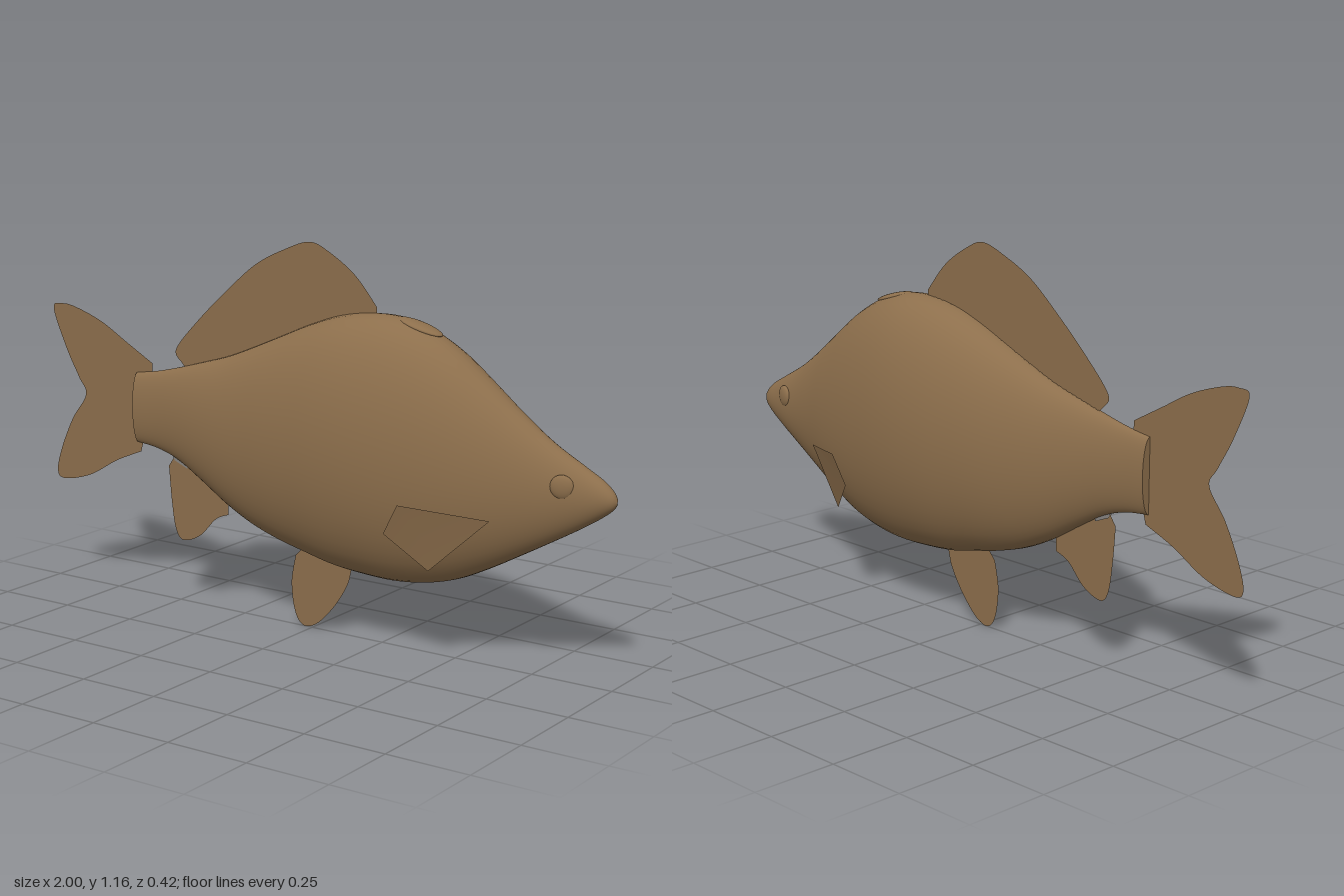
import * as THREE from 'three';

const scaleBrown = new THREE.MeshStandardMaterial({ color: 0x8d6f4c });
scaleBrown.name = 'scaleBrown';
const finBrown = new THREE.MeshStandardMaterial({ color: 0x8b6d4b, side: THREE.DoubleSide });
finBrown.name = 'finBrown';
const ventGrey = new THREE.MeshStandardMaterial({ color: 0x85827f, side: THREE.DoubleSide });
ventGrey.name = 'ventGrey';

// Body stations: x, top, bottom, half width
const STATIONS = [
  [-0.66, 0.705, 0.485, 0.028], [-0.58, 0.718, 0.475, 0.034], [-0.5, 0.737, 0.45, 0.046],
  [-0.4, 0.765, 0.395, 0.066], [-0.3, 0.795, 0.335, 0.088], [-0.2, 0.835, 0.288, 0.11],
  [-0.1, 0.878, 0.256, 0.132], [0, 0.921, 0.233, 0.15], [0.1, 0.955, 0.212, 0.164],
  [0.2, 0.972, 0.203, 0.17], [0.3, 0.972, 0.2, 0.167], [0.4, 0.946, 0.21, 0.156],
  [0.5, 0.894, 0.235, 0.139], [0.6, 0.82, 0.28, 0.116], [0.7, 0.742, 0.334, 0.088],
  [0.8, 0.672, 0.39, 0.063], [0.9, 0.617, 0.448, 0.044], [0.96, 0.583, 0.487, 0.031],
  [0.99, 0.555, 0.512, 0.016], [1, 0.534, 0.53, 0.002],
];

const named = (name, geometry, material) => {
  const mesh = new THREE.Mesh(geometry, material);
  mesh.name = name;
  return mesh;
};

// Smooth skin of elliptical rings along x
function bodyGeometry() {
  const SIDES = 48, STEPS = 80;
  const dims = new THREE.CatmullRomCurve3(STATIONS.map(([x, t, b]) => new THREE.Vector3(x, t, b)));
  const widths = new THREE.CatmullRomCurve3(STATIONS.map(([x, , , w]) => new THREE.Vector3(x, w, 0)));
  const pos = [], index = [];
  for (let i = 0; i <= STEPS; i++) {
    const p = dims.getPoint(i / STEPS), w = widths.getPoint(i / STEPS).y;
    const mid = (p.y + p.z) / 2, half = (p.y - p.z) / 2;
    for (let j = 0; j < SIDES; j++) {
      const a = (j / SIDES) * Math.PI * 2;
      pos.push(p.x, mid + half * Math.cos(a), w * Math.sin(a));
      if (i === STEPS) continue;
      const k = i * SIDES + j, n = i * SIDES + ((j + 1) % SIDES);
      index.push(k, n, k + SIDES, n, n + SIDES, k + SIDES);
    }
  }
  const g = new THREE.BufferGeometry();
  g.setAttribute('position', new THREE.Float32BufferAttribute(pos, 3));
  g.setIndex(index);
  g.computeVertexNormals();
  return g;
}

// Flat fin in the middle plane: curved outer edge, straight root hidden in the body
function fin(name, edge, root) {
  const shape = new THREE.Shape();
  shape.moveTo(...edge[0]);
  shape.splineThru(edge.slice(1).map(p => new THREE.Vector2(...p)));
  root.forEach(p => shape.lineTo(...p));
  return named(name, new THREE.ShapeGeometry(shape, 40), finBrown);
}

// Folded four-cornered side fin
function sideFin(name, side) {
  const corners = [[0.66, 0.45, 0.095], [0.43, 0.485, 0.208], [0.38, 0.395, 0.2], [0.49, 0.29, 0.138], [0.48, 0.4, 0.165]];
  const g = new THREE.BufferGeometry();
  g.setAttribute('position', new THREE.Float32BufferAttribute(corners.flatMap(([x, y, z]) => [x, y, z * side]), 3));
  const faces = [[0, 1, 4], [1, 2, 4], [2, 3, 4], [3, 0, 4]];
  g.setIndex(faces.flatMap(([a, b, c]) => (side > 0 ? [a, b, c] : [a, c, b])));
  g.computeVertexNormals();
  return named(name, g, finBrown);
}

export function createModel() {
  const fish = new THREE.Group();
  fish.name = 'fish';
  fish.add(named('body', bodyGeometry(), scaleBrown));

  // Closed end of the tail stalk
  const cap = named('tailStalkEnd', new THREE.CircleGeometry(1, 48), scaleBrown);
  cap.scale.set(0.028, 0.11, 1);
  cap.rotation.y = -Math.PI / 2;
  cap.position.set(-0.66, 0.595, 0);
  fish.add(cap);

  // Fins in the middle plane
  fish.add(
    fin('tailFin',
      [[-0.6, 0.74], [-0.7, 0.795], [-0.8, 0.85], [-0.9, 0.885], [-0.96, 0.893], [-0.998, 0.875], [-0.95, 0.755],
        [-0.9, 0.665], [-0.872, 0.61], [-0.93, 0.525], [-0.98, 0.42], [-0.998, 0.345], [-0.965, 0.325],
        [-0.86, 0.352], [-0.75, 0.413], [-0.65, 0.455]],
      [[-0.64, 0.49], [-0.6, 0.5], [-0.6, 0.7]]),
    fin('dorsalFin',
      [[0.225, 0.99], [0.15, 1.075], [0.06, 1.135], [-0.01, 1.159], [-0.1, 1.13], [-0.2, 1.08], [-0.3, 1.0],
        [-0.42, 0.89], [-0.505, 0.795], [-0.485, 0.755]],
      [[-0.45, 0.72], [-0.25, 0.77], [0, 0.88], [0.225, 0.94]]),
    fin('analFin',
      [[-0.54, 0.425], [-0.53, 0.31], [-0.515, 0.225], [-0.485, 0.195], [-0.42, 0.22], [-0.36, 0.28], [-0.31, 0.302]],
      [[-0.31, 0.38], [-0.4, 0.45], [-0.5, 0.48]]),
    fin('pelvicFin',
      [[-0.06, 0.215], [-0.075, 0.13], [-0.062, 0.04], [-0.03, 0.002], [0.02, 0.018], [0.08, 0.08], [0.125, 0.15], [0.14, 0.2]],
      [[0.14, 0.24], [0, 0.28]]),
  );

  // Small notched rays along the dorsal fin root
  const rays = new THREE.Shape();
  rays.moveTo(-0.47, 0.73);
  for (let i = 0; i < 36; i++) {
    const x = -0.47 + i * 0.019, y = 0.742 + 0.235 * Math.pow(i / 36, 1.15);
    rays.lineTo(x + 0.004, y + 0.02 + 0.008 * Math.sin(i * 2.3));
    rays.lineTo(x + 0.012, y - 0.005);
  }
  rays.lineTo(0.2, 0.93);
  const rayGeometry = new THREE.ShapeGeometry(rays);
  for (const z of [-0.002, 0.002]) {
    const row = named('dorsalRays', rayGeometry, finBrown);
    row.position.z = z;
    fish.add(row);
  }

  // Paired details
  for (const side of [1, -1]) {
    fish.add(sideFin(side > 0 ? 'leftSideFin' : 'rightSideFin', side));
    const eye = named('eye', new THREE.SphereGeometry(1, 24, 16), scaleBrown);
    eye.scale.set(0.034, 0.034, 0.012);
    eye.position.set(0.855, 0.565, side * 0.047);
    eye.rotation.y = side * 0.24;
    fish.add(eye);
  }

  // Shallow plate on the crown
  const crown = named('crownPlate', new THREE.SphereGeometry(1, 24, 16), scaleBrown);
  crown.scale.set(0.075, 0.012, 0.034);
  crown.rotation.z = -0.27;
  crown.position.set(0.37, 0.949, 0);
  fish.add(crown);

  // Grey vent in front of the tail
  const vent = named('vent', new THREE.ShapeGeometry(new THREE.Shape([
    new THREE.Vector2(-0.53, 0.475), new THREE.Vector2(-0.515, 0.445),
    new THREE.Vector2(-0.465, 0.425), new THREE.Vector2(-0.46, 0.455)])), ventGrey);
  vent.position.z = 0.003;
  const ventBack = vent.clone();
  ventBack.position.z = -0.003;
  fish.add(vent, ventBack);
  return fish;
}
